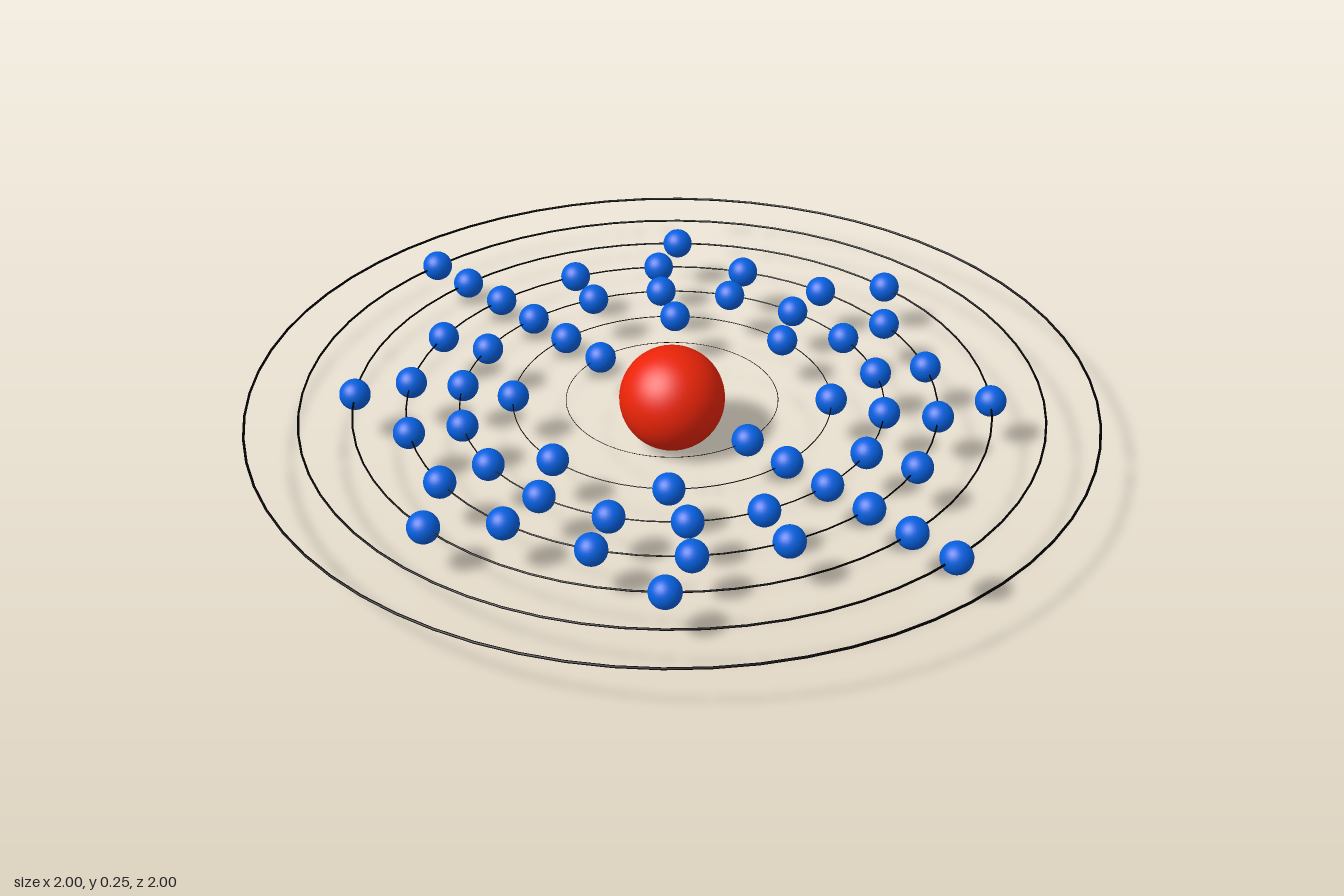
import * as THREE from 'three';

export function createModel() {
  const group = new THREE.Group();
  group.name = 'atomModel';
  const shellStep = 0.1245;
  const centreY = shellStep;
  const electronsPerShell = [2, 8, 18, 18, 8, 2, 0];

  const red = new THREE.MeshStandardMaterial({ color: 0xea2408 });
  const blue = new THREE.MeshStandardMaterial({ color: 0x0660e0 });
  const black = new THREE.MeshStandardMaterial({ color: 0x000000 });

  // Nucleus
  const nucleus = new THREE.Mesh(new THREE.SphereGeometry(shellStep, 48, 32), red);
  nucleus.name = 'nucleus';
  nucleus.position.y = centreY;
  group.add(nucleus);

  // Shells: a thin orbit ring with electrons around it
  const electronGeometry = new THREE.SphereGeometry(0.037, 24, 16);
  electronsPerShell.forEach((count, i) => {
    const radius = shellStep * (i + 2);
    const shell = new THREE.Group();
    shell.name = `shell${i + 1}`;
    shell.position.y = centreY;

    const ring = new THREE.Mesh(new THREE.TorusGeometry(radius, 0.003 * radius, 8, 64), black);
    ring.name = 'orbitRing';
    ring.rotation.x = Math.PI / 2;
    shell.add(ring);

    for (let k = 0; k < count; k++) {
      // The crowded shells drift slightly clockwise over their +x half
      const drift = count === 18 && k < 9 ? 0.4 + 0.15 * k : 0;
      const angle = THREE.MathUtils.degToRad((k / count) * 360 + drift);
      const electron = new THREE.Mesh(electronGeometry, blue);
      electron.name = 'electron';
      electron.position.set(Math.sin(angle) * radius, 0, -Math.cos(angle) * radius);
      shell.add(electron);
    }
    group.add(shell);
  });

  return group;
}
